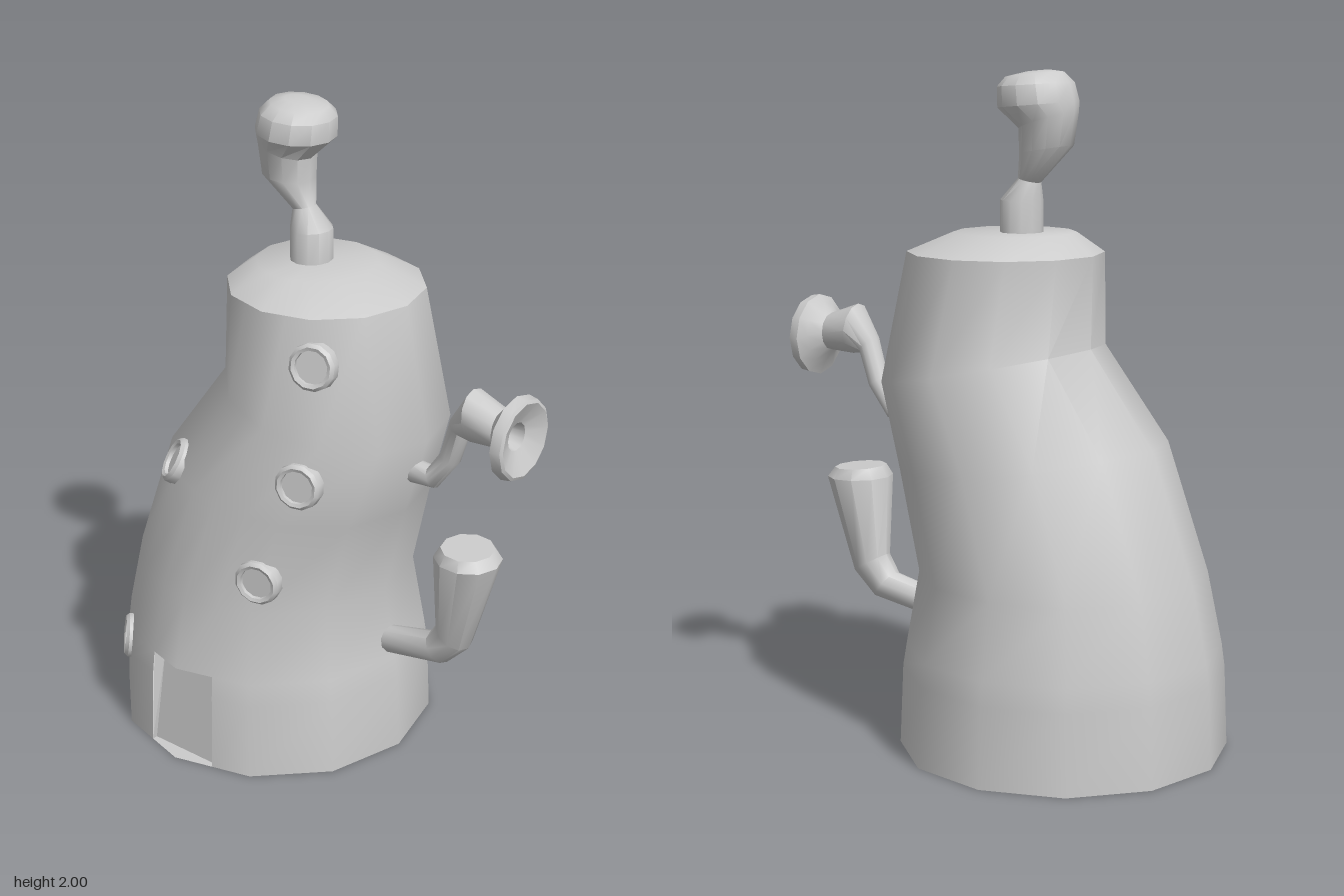
import * as THREE from 'three';
import { toCreasedNormals } from 'three/addons/utils/BufferGeometryUtils.js';

const material = new THREE.MeshStandardMaterial({ color: 0xcccccc, side: THREE.DoubleSide });

// A ring is [leftX, leftY, rightX, rightY, halfDepth]; u counts polygon corners, fractions lie on an edge.
function ringPoint([lx, ly, rx, ry, hz], u, sides) {
  const corner = (i) => {
    const a = (i / sides) * Math.PI * 2, c = Math.cos(a) / 2;
    return new THREE.Vector3((lx + rx) / 2 + c * (rx - lx), (ly + ry) / 2 + c * (ry - ly), hz * Math.sin(a));
  };
  const i = Math.floor(u);
  return corner(i).lerp(corner(i + 1), u - i);
}

function meshFrom(name, triangles, crease) {
  const geometry = new THREE.BufferGeometry().setFromPoints(triangles);
  const mesh = new THREE.Mesh(toCreasedNormals(geometry, crease), material);
  mesh.name = name;
  return mesh;
}

// Skin through the rings with both ends capped; skip(ringIndex, u) leaves an opening.
function loft(name, rings, sides, { extra = [], skip = () => false, crease = 0.75 } = {}) {
  const us = [...Array(sides).keys(), ...extra].sort((a, b) => a - b);
  const rows = rings.map((r) => us.map((u) => ringPoint(r, u, sides)));
  const n = us.length, tris = [];
  for (let i = 0; i < rows.length - 1; i++) {
    for (let j = 0; j < n; j++) {
      if (skip(i, us[j])) continue;
      const k = (j + 1) % n, [a, b] = [rows[i], rows[i + 1]];
      tris.push(a[j], b[j], a[k], a[k], b[j], b[k]);
    }
  }
  const middle = ([lx, ly, rx, ry]) => new THREE.Vector3((lx + rx) / 2, (ly + ry) / 2, 0);
  const first = middle(rings[0]), last = middle(rings[rings.length - 1]);
  for (let j = 0; j < n; j++) {
    const k = (j + 1) % n, end = rows[rows.length - 1];
    tris.push(first, rows[0][j], rows[0][k], last, end[k], end[j]);
  }
  return meshFrom(name, tris, crease);
}

export function createModel() {
  const group = new THREE.Group();

  // Leaning tower body with a door opening in front
  const bodyRings = [
    [-0.70, 0, 0.28, 0, 0.49],
    [-0.69, 0.24, 0.27, 0.24, 0.48],
    [-0.68, 0.31, 0.258, 0.31, 0.472],
    [-0.635, 0.53, 0.22, 0.53, 0.43],
    [-0.50, 0.92, 0.29, 0.82, 0.405],
    [-0.295, 1.20, 0.365, 1.07, 0.345],
    [-0.30, 1.47, 0.285, 1.47, 0.29],
    [-0.22, 1.53, 0.14, 1.53, 0.18],
  ];
  const body = loft('body', bodyRings, 12, {
    extra: [2.5, 3.5],
    skip: (i, u) => i < 2 && u >= 2.5 && u < 3.5,
  });
  group.add(body);

  // Recessed door: panel, side jambs and lintel
  const [low, high] = [bodyRings[0], bodyRings[2]].map((r) => [2.5, 3, 3.5].map((u) => ringPoint(r, u, 12)));
  const inLow = [low[0], low[2]].map((p) => new THREE.Vector3(p.x, 0, 0.44));
  const inHigh = [new THREE.Vector3(-0.088, 0.31, 0.405), new THREE.Vector3(-0.315, 0.31, 0.405)];
  const quad = (a, b, c, d) => [a, b, c, a, c, d];
  group.add(meshFrom('doorPanel', quad(inLow[1], inLow[0], inHigh[0], inHigh[1]), 0.3));
  group.add(meshFrom('doorFrame', [
    ...quad(inLow[0], low[0], high[0], inHigh[0]),
    ...quad(low[2], inLow[1], inHigh[1], high[2]),
    ...quad(inHigh[1], inHigh[0], high[0], high[2]),
    high[2], high[0], high[1],
  ], 0.3));

  // Portholes set flush against the body wall
  const rimProfile = [[0.072, -0.02], [0.07, 0.01], [0.06, 0.02], [0.05, 0.016], [0.048, -0.01]]
    .map(([x, y]) => new THREE.Vector2(x, y));
  const rimGeometry = toCreasedNormals(new THREE.LatheGeometry(rimProfile, 12), 0.6);
  const glassGeometry = new THREE.CylinderGeometry(0.05, 0.05, 0.02, 12);
  const ray = new THREE.Raycaster();
  for (const [x, y] of [[-0.51, 0.26], [-0.325, 0.915], [0.03, 0.65], [0.15, 0.985], [0.16, 1.34]]) {
    ray.set(new THREE.Vector3(x, y, 3), new THREE.Vector3(0, 0, -1));
    const hit = ray.intersectObject(body)[0];
    const porthole = new THREE.Group();
    porthole.name = 'porthole';
    const rim = new THREE.Mesh(rimGeometry, material);
    rim.name = 'portholeRim';
    const glass = new THREE.Mesh(glassGeometry, material);
    glass.name = 'portholeGlass';
    glass.position.y = -0.005;
    porthole.add(rim, glass);
    porthole.position.copy(hit.point);
    porthole.quaternion.setFromUnitVectors(new THREE.Vector3(0, 1, 0), hit.face.normal);
    group.add(porthole);
  }

  // Chimney: straight base, pinched neck and bulbous leaning head
  group.add(loft('chimney', [
    [-0.125, 1.50, 0.0, 1.50, 0.065],
    [-0.125, 1.62, 0.0, 1.625, 0.065],
    [-0.122, 1.675, -0.055, 1.69, 0.036],
    [-0.222, 1.785, -0.068, 1.76, 0.085],
    [-0.237, 1.88, -0.065, 1.83, 0.09],
    [-0.235, 1.91, 0.0, 1.89, 0.122],
    [-0.22, 1.965, 0.003, 1.95, 0.115],
    [-0.19, 1.995, -0.02, 1.978, 0.085],
    [-0.15, 2.0, -0.08, 1.993, 0.035],
  ], 12));

  // Lower side pipe, widening upwards
  group.add(loft('lowerPipe', [
    [0.20, 0.40, 0.20, 0.315, 0.04],
    [0.39, 0.445, 0.455, 0.365, 0.05],
    [0.425, 0.50, 0.53, 0.44, 0.06],
    [0.418, 0.745, 0.62, 0.74, 0.102],
    [0.44, 0.778, 0.595, 0.77, 0.085],
  ], 10));

  // Upper horn: bent pipe with a hollow flared bell
  group.add(loft('horn', [
    [0.30, 1.00, 0.30, 0.925, 0.035],
    [0.375, 0.995, 0.405, 0.935, 0.035],
    [0.42, 1.06, 0.475, 1.03, 0.035],
    [0.455, 1.18, 0.505, 1.13, 0.042],
    [0.52, 1.28, 0.54, 1.125, 0.07],
    [0.62, 1.245, 0.62, 1.13, 0.055],
    [0.648, 1.275, 0.648, 1.09, 0.095],
    [0.665, 1.30, 0.665, 1.05, 0.125],
    [0.695, 1.295, 0.695, 1.055, 0.12],
    [0.70, 1.285, 0.70, 1.065, 0.11],
    [0.67, 1.22, 0.67, 1.135, 0.042],
    [0.62, 1.21, 0.62, 1.145, 0.033],
  ], 12));

  return group;
}
